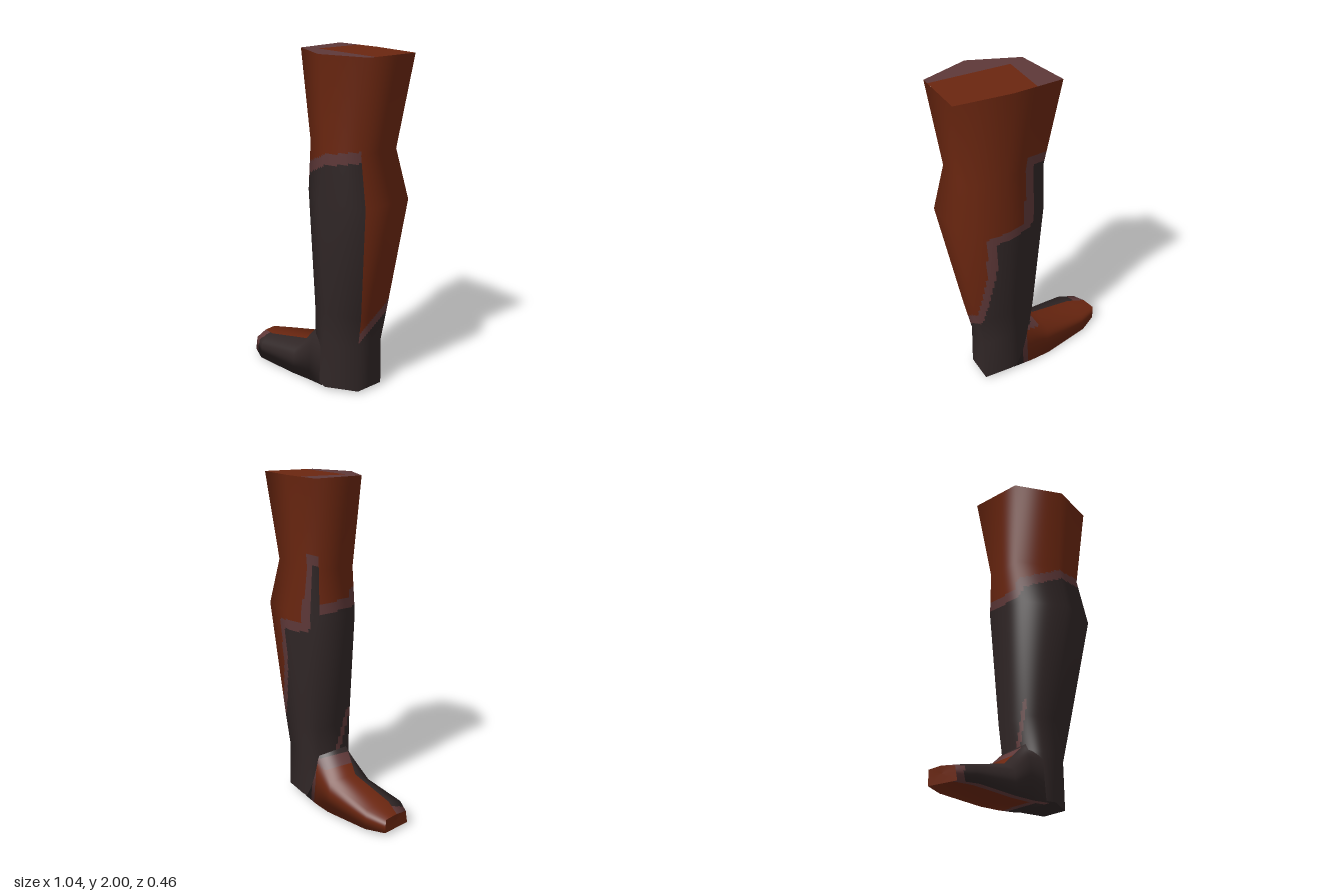
import * as THREE from 'three';

const brown = new THREE.MeshStandardMaterial({ color: 0x6a2610 });
brown.name = 'rust brown';
const dark = new THREE.MeshStandardMaterial({ color: 0x302626 });
dark.name = 'charcoal';
const trim = new THREE.MeshStandardMaterial({ color: 0x5e3838 });
trim.name = 'dusky trim';
const BROWN = 0, DARK = 1, TRIM = 2;
const palette = [brown, dark, trim];

// Lofts closed rings of [x, y, z] into a finely split skin with soft normals.
// colourAt(u, x, y, z) picks the colour; u counts ring corners.
function loft(name, rings, colourAt, side = 14, step = 0.0125) {
  const n = rings[0].length;
  const coarse = new THREE.BufferGeometry();
  coarse.setAttribute('position', new THREE.Float32BufferAttribute(rings.flat(2), 3));
  const faces = [];
  for (let i = 0; i < rings.length - 1; i++) {
    for (let j = 0; j < n; j++) {
      const a = i * n + j, b = i * n + (j + 1) % n;
      faces.push(a, b, b + n, a, b + n, a + n);
    }
  }
  coarse.setIndex(faces);
  coarse.computeVertexNormals();
  const P = coarse.attributes.position, N = coarse.attributes.normal;
  const at = (attr, k) => new THREE.Vector3().fromBufferAttribute(attr, k);

  // Rows of the fine grid
  const rows = [];
  for (let i = 0; i < rings.length - 1; i++) {
    const length = at(P, i * n).distanceTo(at(P, (i + 1) * n));
    const count = Math.max(2, Math.ceil(length / step));
    for (let k = 0; k < count; k++) rows.push([i, k / count]);
  }
  rows.push([rings.length - 2, 1]);

  const cols = n * side, pos = [], nor = [];
  for (const [i, t] of rows) {
    for (let c = 0; c <= cols; c++) {
      const j = Math.floor(c / side) % n, f = (c % side) / side, k = (j + 1) % n;
      const mix = (attr) => at(attr, i * n + j).lerp(at(attr, i * n + k), f)
        .lerp(at(attr, (i + 1) * n + j).lerp(at(attr, (i + 1) * n + k), f), t);
      pos.push(...mix(P).toArray());
      nor.push(...mix(N).normalize().toArray());
    }
  }

  // Sort the small faces by colour
  const lists = [[], [], []], w = cols + 1;
  for (let r = 0; r < rows.length - 1; r++) {
    for (let c = 0; c < cols; c++) {
      const a = r * w + c, d = a + w + 1;
      const mid = [0, 1, 2].map((k) => (pos[a * 3 + k] + pos[d * 3 + k]) / 2);
      lists[colourAt((c + 0.5) / side, ...mid)].push(a, a + 1, d, a, d, a + w);
    }
  }
  const geo = new THREE.BufferGeometry();
  geo.setAttribute('position', new THREE.Float32BufferAttribute(pos, 3));
  geo.setAttribute('normal', new THREE.Float32BufferAttribute(nor, 3));
  geo.setIndex(lists.flat());
  let start = 0;
  lists.forEach((list, m) => {
    geo.addGroup(start, list.length, m);
    start += list.length;
  });
  const mesh = new THREE.Mesh(geo, palette);
  mesh.name = name;
  return mesh;
}

// Leg cross-sections: height, then six [x, z] corners
const legRings = [
  [2.0, [-0.11, -0.21], [0.185, -0.23], [0.51, -0.21], [0.52, 0.12], [0.24, 0.228], [-0.05, 0.12]],
  [1.48, [-0.035, -0.15], [0.2, -0.175], [0.43, -0.165], [0.45, 0.105], [0.24, 0.18], [-0.005, 0.09]],
  [1.2, [-0.04, -0.15], [0.22, -0.225], [0.5, -0.2], [0.515, 0.125], [0.25, 0.23], [0.0, 0.11]],
  [0.5, [0.015, -0.13], [0.19, -0.17], [0.385, -0.165], [0.4, 0.045], [0.21, 0.148], [0.045, 0.1]],
  [0.3, [0.035, -0.12], [0.18, -0.155], [0.355, -0.15], [0.36, 0.03], [0.2, 0.145], [0.05, 0.1]],
  [0.02, [0.03, -0.13], [0.18, -0.155], [0.36, -0.152], [0.365, 0.03], [0.2, 0.148], [0.03, 0.13]],
].map(([y, ...corners]) => corners.map(([x, z]) => [x, y, z]));

// Centre line of the trim round the sock: [corner number, height]
const hem = [[0, 1.54], [0.38, 1.54], [0.44, 1.13], [1.38, 1.11], [1.45, 0.85], [1.8, 0.62], [2, 0.53],
  [3, 0.36], [3, 1.47], [4, 1.43], [5, 1.33], [5.1, 1.27], [6, 1.25]];

function distance(u, y, [u0, y0], [u1, y1]) {
  const s = 0.25, dx = (u1 - u0) * s, dy = y1 - y0, px = (u - u0) * s, py = y - y0;
  const t = THREE.MathUtils.clamp((px * dx + py * dy) / (dx * dx + dy * dy), 0, 1);
  return Math.hypot(px - t * dx, py - t * dy);
}

function legColour(u, x, y) {
  let below = false;
  for (let i = 0; i < hem.length - 1; i++) {
    const [a, b] = [hem[i], hem[i + 1]];
    if (a[0] === b[0]) continue;
    // The trim stops at the sharp calf edge
    const samePanel = (u < 3) === (b[0] <= 3);
    if (samePanel && distance(u, y, a, b) < 0.03) return TRIM;
    if (u >= a[0] && u < b[0]) below = y < a[1] + (b[1] - a[1]) * (u - a[0]) / (b[0] - a[0]);
  }
  if (distance(u, y, [5.05, 0.58], [5.4, 0.3]) < 0.018) return TRIM;
  return below ? DARK : BROWN;
}

// Foot cross-sections from toe to ankle: inner sole, inner top, ridge, outer side, outer sole
const footRings = [
  [[-0.522, 0.025, 0.0], [-0.525, 0.11, 0.005], [-0.505, 0.115, 0.09], [-0.475, 0.1, 0.175], [-0.47, 0.022, 0.19]],
  [[-0.41, 0.018, -0.065], [-0.4, 0.132, -0.045], [-0.39, 0.138, 0.112], [-0.37, 0.11, 0.208], [-0.36, 0.015, 0.226]],
  [[-0.1, 0.008, -0.135], [-0.1, 0.2, -0.115], [-0.09, 0.205, 0.065], [-0.09, 0.15, 0.16], [-0.09, 0.004, 0.178]],
  [[0.03, 0.008, -0.145], [0.03, 0.32, -0.12], [0.03, 0.325, 0.08], [0.04, 0.25, 0.128], [0.04, 0.006, 0.152]],
  [[0.16, 0.014, -0.15], [0.16, 0.42, -0.11], [0.16, 0.42, 0.08], [0.16, 0.25, 0.128], [0.16, 0.012, 0.14]],
];

function footColour(u, x, y) {
  if (u > 2 && u < 4) return x < -0.43 ? TRIM : DARK;
  if (u >= 4 && u < 4.15) return TRIM;
  if (x < 0.05 && y < 0.26) return BROWN;
  return x < 0.09 && y < 0.31 ? TRIM : DARK;
}

// Ring with every corner on the ring's own centre, for closing an end
function centreRing(ring) {
  const c = [0, 1, 2].map((k) => ring.reduce((sum, p) => sum + p[k], 0) / ring.length);
  return ring.map(() => c);
}

// Flat piece of the cut top, outlined by [x, z] points
function topPiece(name, points, material) {
  const shape = new THREE.Shape(points.map(([x, z]) => new THREE.Vector2(x, -z)));
  const mesh = new THREE.Mesh(new THREE.ShapeGeometry(shape).rotateX(-Math.PI / 2), material);
  mesh.position.y = 2;
  mesh.name = name;
  return mesh;
}

export function createModel() {
  const model = new THREE.Group();
  model.name = 'lowerLeg';

  model.add(loft('leg', legRings, legColour));
  const heel = legRings[legRings.length - 1];
  model.add(loft('heelSole', [heel, centreRing(heel)], () => DARK, 2, 0.1));

  model.add(loft('foot', footRings, footColour));
  const toe = footRings[0];
  model.add(loft('toeTip', [centreRing(toe), toe], () => BROWN, 2, 0.1));

  // Cut top of the thigh
  const [v0, v1, v2, v3, v4, v5] = legRings[0].map(([x, , z]) => [x, z]);
  const a = [0.045, -0.2205], b = [0.045, 0.075], c = [0.5186, 0.075];
  model.add(topPiece('thighTop', [a, v1, v2, c, b], brown));
  model.add(topPiece('thighTopTrim', [v0, a, b, c, v3, v4, v5], trim));
  return model;
}
